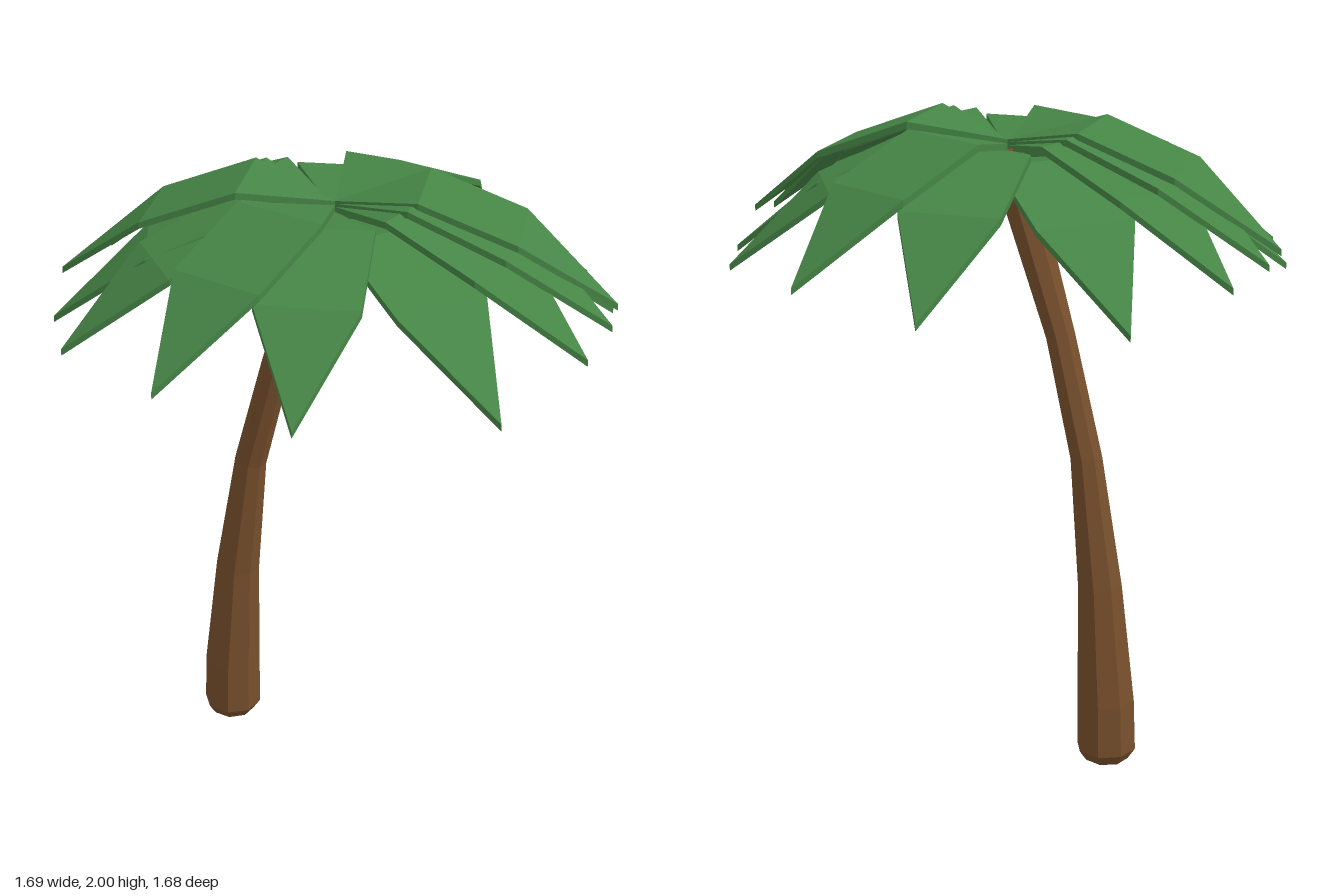
import * as THREE from 'three';

const leafGreen = new THREE.MeshStandardMaterial({ color: 0x468546 });
leafGreen.name = 'leafGreen';
const barkBrown = new THREE.MeshStandardMaterial({ color: 0x78502d });
barkBrown.name = 'barkBrown';

// Faceted geometry from points and triangle indices
function faceted(points, index) {
  const indexed = new THREE.BufferGeometry();
  indexed.setAttribute('position', new THREE.Float32BufferAttribute(points.flat(), 3));
  indexed.setIndex(index);
  const geometry = indexed.toNonIndexed();
  geometry.computeVertexNormals();
  return geometry;
}

// Bent trunk: eight-sided rings square to a curved centre line, [x, y, radius]
function trunkGeometry() {
  const rings = [
    [-0.41, 0, 0.072], [-0.41, 0.035, 0.095], [-0.405, 0.2, 0.092], [-0.375, 0.58, 0.071],
    [-0.315, 0.99, 0.051], [-0.21, 1.36, 0.047], [-0.08, 1.7, 0.06], [-0.02, 1.86, 0.066], [0, 1.9, 0.05],
  ];
  const sides = 8, last = rings.length - 1;
  const points = [], index = [];
  rings.forEach(([x, y, r], i) => {
    const a = rings[Math.max(i - 1, 0)], b = rings[Math.min(i + 1, last)];
    const length = Math.hypot(b[0] - a[0], b[1] - a[1]);
    const tx = (b[0] - a[0]) / length, ty = (b[1] - a[1]) / length;
    for (let k = 0; k < sides; k++) {
      const angle = ((k + 0.5) / sides) * Math.PI * 2;
      const n = r * Math.cos(angle);
      points.push([x + ty * n, y - tx * n, r * Math.sin(angle)]);
    }
  });
  for (let i = 0; i < last; i++) {
    for (let k = 0; k < sides; k++) {
      const a = i * sides + k, b = i * sides + ((k + 1) % sides);
      index.push(a, a + sides, b, b, a + sides, b + sides);
    }
  }
  // End caps
  const top = last * sides;
  for (let k = 1; k < sides - 1; k++) {
    index.push(0, k, k + 1, top, top + k + 1, top + k);
  }
  return faceted(points, index);
}

// Frond: a thin six-cornered slab, rising from the crown then bending down twice
function frondGeometry(drop) {
  const thickness = 0.02, w = 0.152;
  const inner = 2.0 - drop * 0.85, outer = 1.89 - drop;
  const upper = [
    [0, 1.935 - drop * 0.6, 0],
    [0.266, inner, w], [0.557, outer, w],
    [0.846, 1.667 - drop * 1.2, 0],
    [0.557, outer, -w], [0.266, inner, -w],
  ];
  const lower = upper.map(([x, y, z]) => [x, y - thickness, z]);
  const faces = [[0, 1, 5], [1, 2, 5], [2, 4, 5], [2, 3, 4]];
  const index = [];
  for (const [a, b, c] of faces) index.push(a, b, c, a + 6, c + 6, b + 6);
  for (let i = 0; i < 6; i++) {
    const j = (i + 1) % 6;
    index.push(i + 6, j + 6, j, i + 6, j, i);
  }
  return faceted([...upper, ...lower], index);
}

export function createModel() {
  const model = new THREE.Group();
  model.name = 'palmTree';

  const trunk = new THREE.Mesh(trunkGeometry(), barkBrown);
  trunk.name = 'trunk';
  model.add(trunk);

  // Eight opposite pairs of fronds: [heading in degrees from +x toward +z, drop]
  const crown = new THREE.Group();
  crown.name = 'crown';
  const pairs = [
    [1.5, 0.03], [26.6, 0.09], [67, 0.055], [95.4, 0.022],
    [128.8, 0.063], [147, 0.072], [158.8, 0], [167, 0.014],
  ];
  for (const [heading, drop] of pairs) {
    const geometry = frondGeometry(drop);
    for (const turn of [0, 180]) {
      const frond = new THREE.Mesh(geometry, leafGreen);
      frond.name = 'frond';
      frond.rotation.y = -THREE.MathUtils.degToRad(heading + turn);
      crown.add(frond);
    }
  }
  model.add(crown);
  return model;
}
